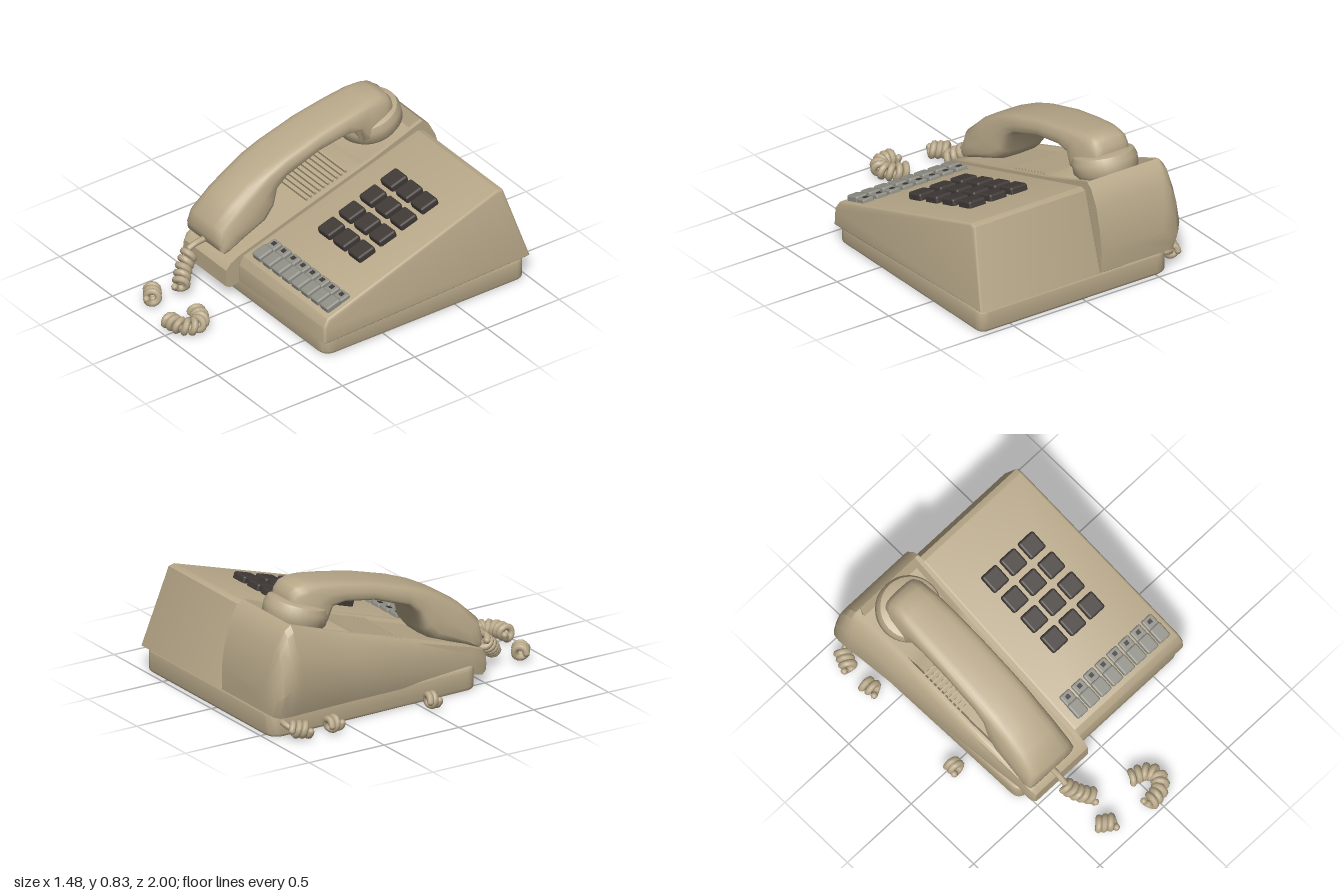
import * as THREE from 'three';
import { toCreasedNormals } from 'three/addons/utils/BufferGeometryUtils.js';
import { RoundedBoxGeometry } from 'three/addons/geometries/RoundedBoxGeometry.js';

const SLOPE = 0.31, TILT = Math.atan(SLOPE);
const deckY = z => 0.37 - SLOPE * z;

function material(name, color) {
  const m = new THREE.MeshStandardMaterial({ color });
  m.name = name;
  return m;
}

// Skin closed rings, ordered back to front, each counterclockwise seen from the front
function loft(rings, crease) {
  const n = rings[0].length, pos = rings.flat(2), idx = [];
  for (let i = 0; i < rings.length - 1; i++) for (let j = 0; j < n; j++) {
    const k = (j + 1) % n, a = i * n + j, b = i * n + k;
    idx.push(a, b, b + n, a, b + n, a + n);
  }
  [0, rings.length - 1].forEach(r => {
    const c = pos.length / 3;
    for (let k = 0; k < 3; k++) pos.push(rings[r].reduce((s, p) => s + p[k], 0) / n);
    for (let j = 0; j < n; j++) {
      const a = r * n + j, b = r * n + (j + 1) % n;
      r ? idx.push(c, a, b) : idx.push(c, b, a);
    }
  });
  const g = new THREE.BufferGeometry();
  g.setAttribute('position', new THREE.Float32BufferAttribute(pos, 3));
  g.setIndex(idx);
  return toCreasedNormals(g, crease);
}

export function createModel() {
  const group = new THREE.Group();
  const beige = material('beige', 0xb9a98a);
  const dark = material('darkBrown', 0x403a37);
  const grey = material('grey', 0x8f8f87);
  const add = (name, geo, mat, x = 0, y = 0, z = 0, tilt = 0) => {
    const m = new THREE.Mesh(geo, mat);
    m.name = name;
    m.position.set(x, y, z);
    m.rotation.x = tilt;
    group.add(m);
    return m;
  };

  // Base tray: rounded plan, slightly narrower at the front
  const plan = new THREE.Shape();
  plan.moveTo(-0.50, -0.39);
  plan.lineTo(0.63, -0.39);
  plan.quadraticCurveTo(0.69, -0.39, 0.69, -0.33);
  plan.lineTo(0.69, 0.92);
  plan.quadraticCurveTo(0.69, 0.96, 0.65, 0.96);
  plan.lineTo(-0.50, 0.96);
  plan.quadraticCurveTo(-0.57, 0.96, -0.57, 0.89);
  plan.lineTo(-0.54, -0.34);
  plan.quadraticCurveTo(-0.54, -0.39, -0.50, -0.39);
  const base = new THREE.ExtrudeGeometry(plan, {
    depth: 0.10, bevelThickness: 0.02, bevelSize: 0.02, bevelSegments: 3, curveSegments: 6
  });
  base.rotateX(-Math.PI / 2);
  add('baseTray', toCreasedNormals(base, 0.6), beige, 0, 0.02, 0);

  // Keypad housing: side profile extruded across, right side leaning in
  const side = new THREE.Shape([
    [0.405, 0.11], [0.405, 0.195], [0.38, 0.235], [-0.82, 0.607], [-0.845, 0.60], [-0.985, 0.16]
  ].map(([z, y]) => new THREE.Vector2(-z, y)));
  const housing = new THREE.ExtrudeGeometry(side, {
    depth: 0.80, bevelThickness: 0.015, bevelSize: 0.015, bevelSegments: 3
  });
  housing.rotateY(Math.PI / 2);
  const hp = housing.attributes.position;
  for (let i = 0; i < hp.count; i++) {
    const x = hp.getX(i), y = hp.getY(i);
    hp.setX(i, x > 0.4 ? x - 0.09 - Math.max(0, y - 0.15) * 0.12 : x - 0.09);
  }
  housing.computeVertexNormals();
  add('keypadHousing', toCreasedNormals(housing, 0.6), beige);

  // Cradle: [z, left x, bottom, top, recess depth, top inset]
  const cradleRings = [
    [-1.0, -0.58, 0.15, 0.28, 0, 0.03], [-0.985, -0.64, 0.14, 0.40, 0, 0.05],
    [-0.95, -0.675, 0.13, 0.54, 0, 0.07], [-0.90, -0.69, 0.13, 0.635, 0, 0.08],
    [-0.86, -0.69, 0.13, 0.665, 0, 0.08], [-0.83, -0.687, 0.13, 0.655, 0.07, 0.08],
    [-0.52, -0.645, 0.12, 0.543, 0.07, 0.07], [-0.44, -0.635, 0.12, 0.518, 0.02, 0.06],
    [0.0, -0.585, 0.11, 0.382, 0.02, 0.03], [0.40, -0.535, 0.08, 0.256, 0.02, 0.01],
    [0.47, -0.53, 0.065, 0.22, 0, 0.01], [0.5, -0.515, 0.08, 0.185, 0, 0.01]
  ].map(([z, xl, yb, t, d, inset]) => {
    const h = t - yb, r = -0.105;
    return [
      [xl + inset * 0.7, yb], [r, yb], [r, t], [r - 0.025, t], [r - 0.04, t - d],
      [xl + inset + 0.05, t - d], [xl + inset + 0.035, t], [xl + inset + 0.015, t],
      [xl + inset * 0.8, t - 0.07 * h], [xl + inset * 0.3, yb + 0.68 * h], [xl, yb + 0.35 * h]
    ].map(([x, y]) => [x, y, z]);
  });
  add('cradle', loft(cradleRings, 0.65), beige);

  // Speaker ribs under the handle
  for (let i = 0; i < 10; i++) {
    const z = -0.37 + i * 0.03;
    add('speakerRib', new THREE.BoxGeometry(0.39, 0.022, 0.012), beige, -0.355, deckY(z), z, TILT);
  }

  // Handset: [outer z, outer y, inner z, inner y, outer half width, inner half width]
  const handsetRings = [
    [-0.775, 0.71, -0.745, 0.65, 0.10, 0.12], [-0.76, 0.78, -0.68, 0.60, 0.115, 0.15],
    [-0.73, 0.815, -0.61, 0.575, 0.125, 0.165], [-0.68, 0.83, -0.53, 0.57, 0.125, 0.165],
    [-0.60, 0.822, -0.50, 0.655, 0.13, 0.16], [-0.45, 0.797, -0.42, 0.67, 0.135, 0.155],
    [-0.25, 0.757, -0.22, 0.637, 0.14, 0.155], [0.0, 0.685, 0.0, 0.555, 0.145, 0.155],
    [0.13, 0.635, 0.06, 0.50, 0.148, 0.16], [0.25, 0.572, 0.085, 0.40, 0.15, 0.175],
    [0.36, 0.50, 0.14, 0.335, 0.155, 0.185], [0.475, 0.39, 0.30, 0.275, 0.16, 0.187],
    [0.482, 0.30, 0.40, 0.24, 0.172, 0.185], [0.472, 0.25, 0.44, 0.228, 0.165, 0.17]
  ].map(([oz, oy, iz, iy, wo, wi]) => {
    const ring = [], pw = v => Math.sign(v) * Math.pow(Math.abs(v), 0.5);
    for (let i = 0; i < 20; i++) {
      const a = i / 20 * Math.PI * 2, v = (pw(Math.sin(a)) + 1) / 2;
      const w = THREE.MathUtils.lerp(wi, wo, v);
      ring.push([-0.355 + pw(Math.cos(a)) * w, iy + (oy - iy) * v, iz + (oz - iz) * v]);
    }
    return ring;
  });
  add('handset', loft(handsetRings, 0.9), beige);

  // Earpiece cap resting in the cradle pocket
  const cap = new THREE.LatheGeometry([
    [0, 0], [0.16, 0], [0.185, 0.03], [0.188, 0.09], [0.175, 0.125], [0.14, 0.14], [0, 0.14]
  ].map(p => new THREE.Vector2(...p)), 32);
  add('earpieceCap', toCreasedNormals(cap, 0.8), beige, -0.36, 0.57, -0.695, TILT);

  // Dialling keys, three by four
  const key = new RoundedBoxGeometry(0.115, 0.05, 0.12, 2, 0.014);
  for (let r = 0; r < 4; r++) for (let c = 0; c < 3; c++) {
    const z = -0.49 + r * 0.15;
    add('dialKey', key, dark, 0.135 + c * 0.143 + r * 0.007, deckY(z) + 0.015, z, TILT);
  }

  // Row of line keys with a raised front and an indicator
  const lineFront = new RoundedBoxGeometry(0.08, 0.05, 0.10, 2, 0.012);
  const lineBack = new RoundedBoxGeometry(0.076, 0.04, 0.075, 2, 0.01);
  const dot = new THREE.BoxGeometry(0.025, 0.006, 0.025);
  for (let i = 0; i < 8; i++) {
    const x = -0.007 + i * 0.0915;
    add('lineKeyFront', lineFront, grey, x, deckY(0.315) + 0.008, 0.315, TILT);
    add('lineKeyBack', lineBack, grey, x, deckY(0.24) + 0.002, 0.24, TILT);
    add('lineKeyIndicator', dot, dark, x, deckY(0.24) + 0.025, 0.24, TILT);
  }

  // Coiled cord pieces: a helix swept around each path
  const coil = (points, turns) => {
    const path = new THREE.CatmullRomCurve3(points.map(p => new THREE.Vector3(...p)));
    const steps = turns * 14, pts = [], up = new THREE.Vector3(0, 1, 0);
    for (let i = 0; i <= steps; i++) {
      const u = i / steps, a = u * turns * Math.PI * 2;
      const s = new THREE.Vector3().crossVectors(path.getTangentAt(u), up).normalize();
      const n = new THREE.Vector3().crossVectors(s, path.getTangentAt(u));
      pts.push(path.getPointAt(u).addScaledVector(s, Math.cos(a) * 0.034).addScaledVector(n, Math.sin(a) * 0.034));
    }
    const curve = new THREE.CatmullRomCurve3(pts);
    add('cordCoil', new THREE.TubeGeometry(curve, steps, 0.02, 8), beige);
    [0, 1].forEach(u => add('cordEnd', new THREE.SphereGeometry(0.02, 8, 6), beige, ...curve.getPoint(u).toArray()));
  };
  coil([[-0.36, 0.20, 0.57], [-0.32, 0.14, 0.64], [-0.25, 0.08, 0.71]], 5);
  coil([[-0.355, 0.06, 0.83], [-0.27, 0.06, 0.89]], 3);
  coil([[-0.03, 0.06, 0.765], [0.05, 0.06, 0.79], [0.09, 0.06, 0.85], [0.05, 0.06, 0.92], [-0.065, 0.06, 0.945]], 9);
  coil([[-0.685, 0.06, -0.005], [-0.685, 0.06, 0.055]], 2);
  coil([[-0.70, 0.06, -0.68], [-0.68, 0.06, -0.60]], 2);
  coil([[-0.66, 0.07, -0.90], [-0.70, 0.06, -0.80]], 3);

  // Straight leads into the handset and the base
  const lead = points => add('cordLead', new THREE.TubeGeometry(
    new THREE.CatmullRomCurve3(points.map(p => new THREE.Vector3(...p))), 10, 0.018, 8), beige);
  lead([[-0.355, 0.26, 0.45], [-0.355, 0.25, 0.53], [-0.358, 0.23, 0.58]]);
  lead([[-0.54, 0.09, -0.90], [-0.62, 0.085, -0.91], [-0.66, 0.07, -0.89]]);

  return group;
}
